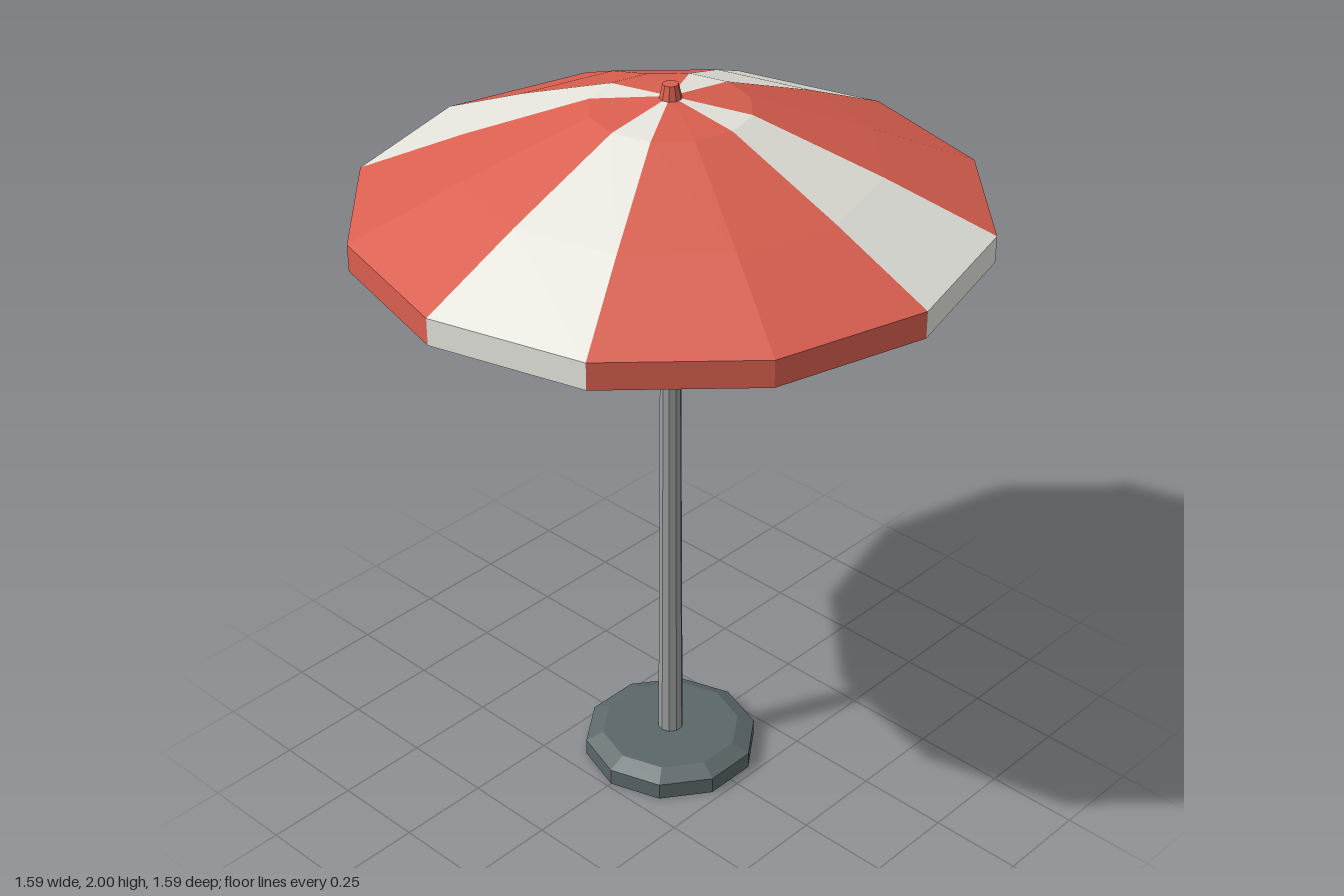
import * as THREE from 'three';

const mat = (name, color, extra = {}) => {
  const m = new THREE.MeshStandardMaterial({ color, flatShading: true, ...extra });
  m.name = name;
  return m;
};

export function createModel() {
  const red = mat('red canvas', 0xd95f4f, { side: THREE.DoubleSide });
  const cream = mat('cream canvas', 0xe4e4dc, { side: THREE.DoubleSide });
  const metal = mat('grey metal', 0x9ba09d);
  const stone = mat('dark base', 0x5b6769);

  const model = new THREE.Group();
  model.name = 'parasol';

  const add = (name, geometry, material, parent = model) => {
    const mesh = new THREE.Mesh(geometry, material);
    mesh.name = name;
    parent.add(mesh);
    return mesh;
  };
  const group = (name) => {
    const g = new THREE.Group();
    g.name = name;
    model.add(g);
    return g;
  };
  const profile = (pairs) => pairs.map(([r, y]) => new THREE.Vector2(r, y));

  // Ten-sided round parts, with corners on the x axis
  const turned = (name, pairs, material) => {
    add(name, new THREE.LatheGeometry(profile(pairs), 10), material).rotation.y = Math.PI / 2;
  };
  turned('base', [[0, 0], [0.237, 0], [0.237, 0.047], [0.19, 0.07], [0, 0.07]], stone);
  turned('pole', [[0.034, 0.07], [0.024, 1.85], [0, 1.85]], metal);
  turned('finial', [[0, 1.94], [0.028, 1.94], [0.028, 1.965], [0.02, 2], [0, 2]], red);

  // Canopy: twelve panels, every third one cream
  const sides = 12;
  const step = (Math.PI * 2) / sides;
  const canopy = group('canopy');
  const panel = profile([[0.795, 1.62], [0.795, 1.69], [0.52, 1.812], [0.2, 1.94], [0, 1.968]]);
  for (let i = 0; i < sides; i++) {
    add('canopyPanel', new THREE.LatheGeometry(panel, 1, i * step, step), i % 3 ? red : cream, canopy);
  }

  // Thin rod between two points given as [radius, height] at an angle
  const rod = (name, angle, a, b, thickness, parent) => {
    const point = ([r, y]) => new THREE.Vector3(r * Math.sin(angle), y, r * Math.cos(angle));
    const start = point(a), end = point(b);
    const length = start.distanceTo(end);
    const mesh = add(name, new THREE.CylinderGeometry(thickness, thickness, length, 5), metal, parent);
    mesh.position.copy(start).add(end).multiplyScalar(0.5);
    mesh.quaternion.setFromUnitVectors(new THREE.Vector3(0, 1, 0), end.sub(start).normalize());
  };

  // Frame: a rib under each seam and a strut from the pole to its middle
  const frame = group('frame');
  for (let i = 0; i < sides; i++) {
    const angle = i * step;
    rod('strut', angle, [0.02, 1.45], [0.515, 1.803], 0.006, frame);
    rod('rib', angle, [0.03, 1.952], [0.2, 1.93], 0.006, frame);
    rod('rib', angle, [0.2, 1.93], [0.52, 1.802], 0.006, frame);
    rod('rib', angle, [0.52, 1.802], [0.785, 1.684], 0.006, frame);
  }

  return model;
}
